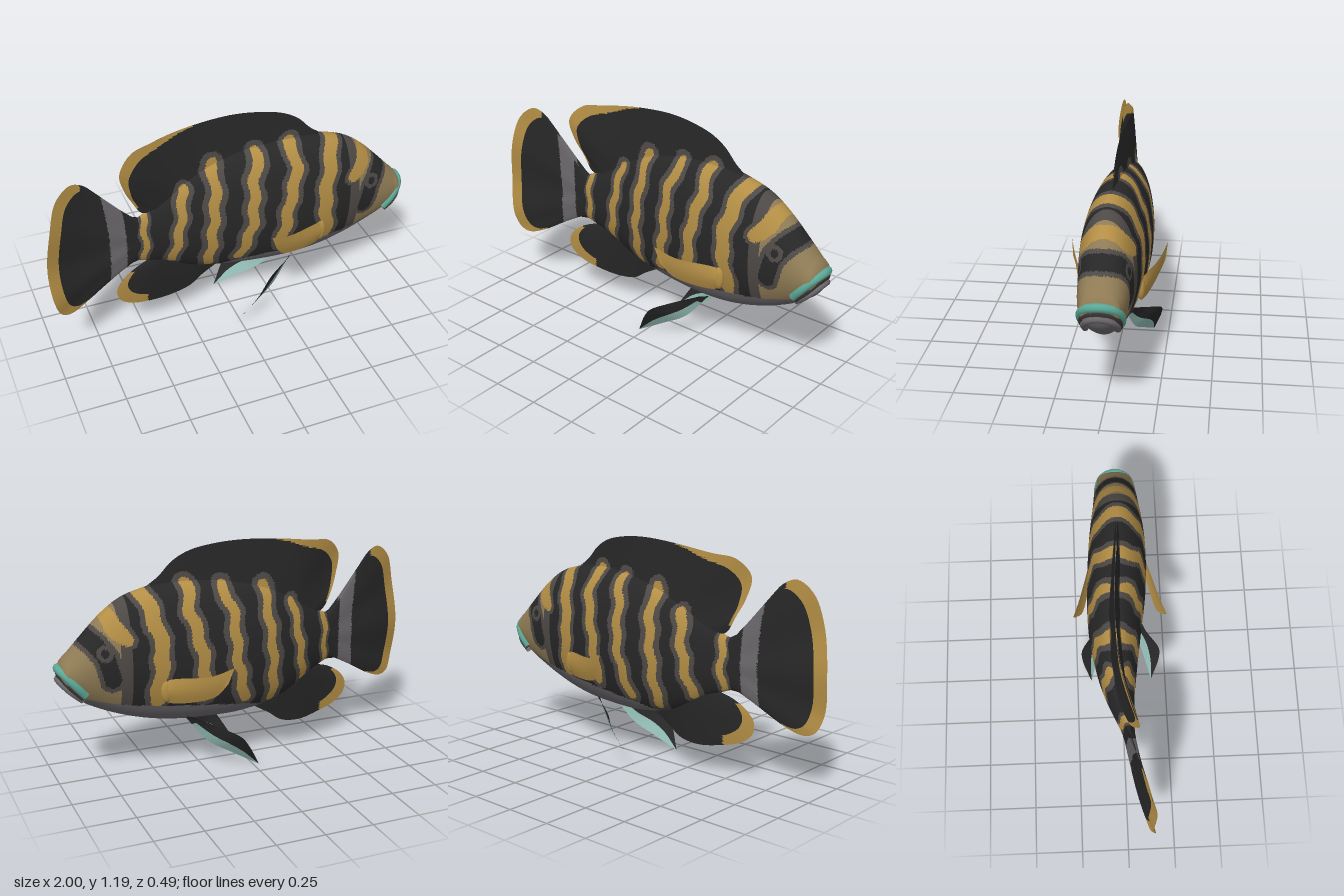
import * as THREE from 'three';

const mat = (name, hex) => {
  const m = new THREE.MeshStandardMaterial({ color: hex, side: THREE.DoubleSide });
  m.name = name;
  return m;
};
const M = {
  black: mat('black', 0x272727), brown: mat('dark brown', 0x4d4946), gold: mat('gold', 0xb38e45),
  tan: mat('tan face', 0x8f7b55), grey: mat('belly grey', 0x6a676a), teal: mat('teal lip', 0x5ba796),
  pale: mat('pale teal', 0x8fb8b0), mouth: mat('mouth', 0x3f3432),
};
const v3 = (p) => new THREE.Vector3(p[0], p[1], p[2] || 0);
const curve = (pts) => new THREE.CatmullRomCurve3(pts.map(v3), false, 'centripetal');

// Smooth lookup of table rows [x, value, value...]
function table(rows, Kind = THREE.CubicInterpolant) {
  const n = rows[0].length - 1;
  const it = new Kind(rows.map((r) => r[0]), rows.flatMap((r) => r.slice(1)), n, new Float32Array(n));
  return (x) => it.evaluate(x);
}

// Surface grid; every cell gets the material chosen by paint(x, y, u, v)
function grid(name, nu, nv, pos, paint, wrap = false) {
  const P = [], buckets = {}, cols = wrap ? nv : nv + 1;
  for (let i = 0; i <= nu; i++) for (let j = 0; j < cols; j++) P.push(...pos(i / nu, j / nv));
  const tri = (a, b, c, u, v) => {
    const x = (P[a * 3] + P[b * 3] + P[c * 3]) / 3, y = (P[a * 3 + 1] + P[b * 3 + 1] + P[c * 3 + 1]) / 3;
    (buckets[paint(x, y, u, v)] ||= []).push(a, b, c);
  };
  for (let i = 0; i < nu; i++) for (let j = 0; j < nv; j++) {
    const k = (j + 1) % cols, a = i * cols + j, b = a + cols, c = (i + 1) * cols + k, d = i * cols + k;
    const u = (i + 0.5) / nu, v = (j + 0.5) / nv;
    tri(a, b, c, u, v);
    tri(a, c, d, u, v);
  }
  const g = new THREE.BufferGeometry(), index = [], mats = [];
  g.setAttribute('position', new THREE.Float32BufferAttribute(P, 3));
  for (const key of Object.keys(buckets)) {
    g.addGroup(index.length, buckets[key].length, mats.length);
    for (const q of buckets[key]) index.push(q);
    mats.push(M[key]);
  }
  g.setIndex(index);
  g.computeVertexNormals();
  const mesh = new THREE.Mesh(g, mats);
  mesh.name = name;
  return mesh;
}

// Sideways bend of the spine
const spineAt = table([[-1, 0.13], [-0.8, 0.07], [-0.6, 0.033], [-0.5, 0.018], [-0.3, -0.02], [0, -0.032],
  [0.3, -0.012], [0.6, 0], [1, 0]]);
const spine = (x) => spineAt(x)[0];

// x, top, bottom, half width
const section = table([
  [-0.62, 0.7, 0.5, 0.012], [-0.5, 0.73, 0.46, 0.033], [-0.4, 0.78, 0.42, 0.055], [-0.2, 0.9, 0.315, 0.1],
  [0, 0.97, 0.27, 0.133], [0.2, 1.0, 0.26, 0.152], [0.4, 1.0, 0.27, 0.155], [0.53, 0.98, 0.293, 0.15],
  [0.65, 0.94, 0.328, 0.138], [0.75, 0.87, 0.368, 0.125], [0.85, 0.77, 0.42, 0.115], [0.92, 0.695, 0.47, 0.1],
  [0.965, 0.645, 0.52, 0.078], [0.98, 0.61, 0.56, 0.035]]);
const belly = table([[-0.3, 0.2], [-0.15, 0.28], [0, 0.325], [0.2, 0.355], [0.5, 0.385], [0.7, 0.42], [0.88, 0.47],
  [0.93, 0.54], [1, 0.6]], THREE.LinearInterpolant);

// Distance from a point to a polyline
function dist(x, y, line) {
  let best = 9;
  for (let i = 0; i + 1 < line.length; i++) {
    const [ax, ay] = line[i], dx = line[i + 1][0] - ax, dy = line[i + 1][1] - ay;
    const t = THREE.MathUtils.clamp(((x - ax) * dx + (y - ay) * dy) / (dx * dx + dy * dy), 0, 1);
    best = Math.min(best, Math.hypot(x - ax - t * dx, y - ay - t * dy));
  }
  return best;
}
// Stripe centre lines: gold half width, brown margin, points
const stripes = [
  [0.017, 0.035, [[-0.48, 0.8], [-0.475, 0.6], [-0.485, 0.4]]],
  [0.024, 0.05, [[-0.26, 0.84], [-0.28, 0.7], [-0.31, 0.52], [-0.33, 0.42]]],
  [0.027, 0.06, [[-0.1, 0.95], [-0.095, 0.85], [-0.12, 0.6], [-0.135, 0.34]]],
  [0.028, 0.06, [[0.14, 0.97], [0.1, 0.84], [0.09, 0.6], [0.035, 0.37]]],
  [0.032, 0.06, [[0.32, 0.99], [0.33, 0.88], [0.28, 0.68], [0.25, 0.42]]],
  [0.038, 0.065, [[0.56, 1.0], [0.52, 0.88], [0.48, 0.7], [0.51, 0.42]]],
  [0.04, 0.06, [[0.75, 0.9], [0.72, 0.83], [0.66, 0.77]]],
];
const mask = [[0.87, 0.8], [0.81, 0.75], [0.76, 0.68], [0.73, 0.56]];

function paintSide(x, y) {
  if (y < belly(x)[0]) return 'grey';
  const eye = Math.hypot(x - 0.765, y - 0.7);
  if (eye < 0.02) return 'black';
  if (eye < 0.042) return 'brown';
  const sx = x + 0.008 * Math.sin(y * 38 + x * 9);
  let brown = false;
  for (const [w, m, line] of stripes) {
    const d = dist(sx, y, line);
    if (d < w) return 'gold';
    if (d < m) brown = true;
  }
  const d = dist(x, y, mask);
  if (d < 0.042) return 'black';
  if (d < 0.065) return 'brown';
  if (x > 0.69) return 'tan';
  return brown || x > 0.63 ? 'brown' : 'black';
}

// Thin tapered fin between a base curve and an outer curve, both sides
function fin(name, base, outer, thick, paint) {
  const B = curve(base), O = curve(outer), g = new THREE.Group();
  g.name = name;
  for (const s of [1, -1]) g.add(grid(name + (s > 0 ? 'Left' : 'Right'), 90, 50, (u, v) => {
    const uu = s > 0 ? 1 - u : u;
    const p = B.getPoint(uu).lerp(O.getPoint(uu), v);
    const t = thick * (1 - v) * Math.sqrt(Math.sin(Math.PI * uu) + 1e-6) + 0.002;
    return [p.x, p.y, p.z + spine(p.x) + s * t];
  }, paint));
  return g;
}

function tube(name, pts, r, m) {
  const mesh = new THREE.Mesh(new THREE.TubeGeometry(curve(pts), 28, r, 10), M[m]);
  mesh.name = name;
  return mesh;
}
const arch = (half) => [...half, ...half.slice(0, -1).reverse().map(([x, y, z]) => [x, y, -z])];

export function createModel() {
  const fish = new THREE.Group();
  fish.name = 'fish';

  // Body
  fish.add(grid('body', 230, 120, (u, v) => {
    const x = -0.62 + 1.6 * u, [top, bot, w] = section(x), a = v * Math.PI * 2;
    return [x, (top + bot) / 2 + Math.cos(a) * (top - bot) / 2, spine(x) - w * Math.sin(a)];
  }, (x, y) => (x < -0.52 ? 'black' : paintSide(x, y)), true));
  const snout = new THREE.Mesh(new THREE.SphereGeometry(1, 20, 12), M.mouth);
  snout.name = 'mouthInside';
  snout.scale.set(0.02, 0.03, 0.05);
  snout.position.set(0.965, 0.58, 0);
  fish.add(snout);

  // Lips
  fish.add(tube('upperLip', arch([[0.865, 0.49, 0.088], [0.91, 0.545, 0.092], [0.955, 0.597, 0.066], [0.976, 0.617, 0]]), 0.022, 'teal'));
  fish.add(tube('mouthGap', arch([[0.875, 0.475, 0.08], [0.92, 0.525, 0.082], [0.955, 0.57, 0.06], [0.968, 0.588, 0]]), 0.018, 'mouth'));
  fish.add(tube('lowerLip', arch([[0.875, 0.462, 0.075], [0.93, 0.51, 0.075], [0.965, 0.545, 0.05], [0.98, 0.562, 0]]), 0.016, 'grey'));

  // Dorsal fin
  fish.add(fin('dorsalFin',
    [[0.53, 0.95], [0.3, 0.95], [0, 0.92], [-0.2, 0.85], [-0.38, 0.75], [-0.43, 0.72]],
    [[0.53, 0.975], [0.45, 1.03], [0.38, 1.1], [0.3, 1.145], [0.2, 1.17], [0.03, 1.185], [-0.2, 1.17], [-0.4, 1.14],
      [-0.52, 1.12, 0.01], [-0.59, 1.04, 0.03], [-0.57, 0.93, 0.02], [-0.53, 0.84], [-0.48, 0.755], [-0.43, 0.735]],
    0.03, (x, y, u, v) => {
      const edge = 0.17 * THREE.MathUtils.smoothstep(-x, 0.12, 0.5);
      if (v > 1 - edge && y > 0.79) return 'gold';
      return x < -0.35 ? 'black' : paintSide(x, y);
    }));

  // Tail fin
  fish.add(fin('tailFin',
    [[-0.48, 0.72], [-0.5, 0.6], [-0.48, 0.47]],
    [[-0.5, 0.73], [-0.6, 0.79], [-0.7, 0.93], [-0.77, 1.02], [-0.84, 1.05], [-0.92, 0.99], [-0.97, 0.83, 0.01], [-1, 0.6, -0.01],
      [-0.985, 0.4, 0.01], [-0.95, 0.31], [-0.9, 0.29], [-0.8, 0.325], [-0.7, 0.385], [-0.6, 0.45], [-0.5, 0.465]],
    0.028, (x, y, u, v) => {
      if (v > 0.88 && x < -0.79) return 'gold';
      const bow = 0.25 * (y - 0.6) ** 2;
      return x < -0.575 - bow && x > -0.665 - bow ? 'grey' : 'black';
    }));

  // Anal fin
  fish.add(fin('analFin',
    [[-0.06, 0.31], [-0.2, 0.35], [-0.33, 0.42], [-0.42, 0.46]],
    [[-0.06, 0.275], [-0.15, 0.22], [-0.22, 0.17], [-0.33, 0.15], [-0.45, 0.165], [-0.57, 0.2], [-0.63, 0.25],
      [-0.64, 0.31], [-0.6, 0.37], [-0.52, 0.42], [-0.42, 0.45]],
    0.025, (x, y, u, v) => (v > 0.8 && x < -0.47 && y < 0.4 ? 'gold' : 'black')));

  // Paired fins
  const lead = curve([[0.34, 0.285, 0.05], [0.22, 0.14, 0.09], [0.1, 0.07, 0.13], [-0.03, 0, 0.17]]);
  const trail = curve([[0.31, 0.29, 0.09], [0.19, 0.235, 0.14], [0.09, 0.19, 0.215], [0.05, 0.14, 0.215], [-0.03, 0, 0.17]]);
  const upper = curve([[0.48, 0.53, 0.14], [0.42, 0.54, 0.165], [0.25, 0.545, 0.215], [0.14, 0.585, 0.247]]);
  const lower = curve([[0.48, 0.42, 0.135], [0.42, 0.405, 0.155], [0.23, 0.425, 0.2], [0.17, 0.5, 0.238]]);
  const patch = (name, a, b, puff, paint) => grid(name, 30, 20, (u, v) => {
    const p = a.getPoint(u).lerp(b.getPoint(u), v);
    return [p.x, p.y, p.z + puff * Math.sin(Math.PI * v) * (1 - u)];
  }, paint);
  for (const s of [1, -1]) {
    const side = new THREE.Group();
    side.name = s > 0 ? 'leftPairedFins' : 'rightPairedFins';
    side.add(patch('pelvicFin', lead, trail, 0, (x, y, u, v) => (v < 0.42 && u > 0.1 ? 'pale' : 'black')));
    side.add(patch('pectoralFin', upper, lower, 0.02, () => 'gold'));
    const root = new THREE.Mesh(new THREE.SphereGeometry(1, 16, 10), M.gold);
    root.name = 'pectoralRoot';
    root.scale.set(0.03, 0.06, 0.02);
    root.position.set(0.465, 0.475, 0.142);
    side.add(root);
    side.scale.z = s;
    fish.add(side);
  }
  return fish;
}
